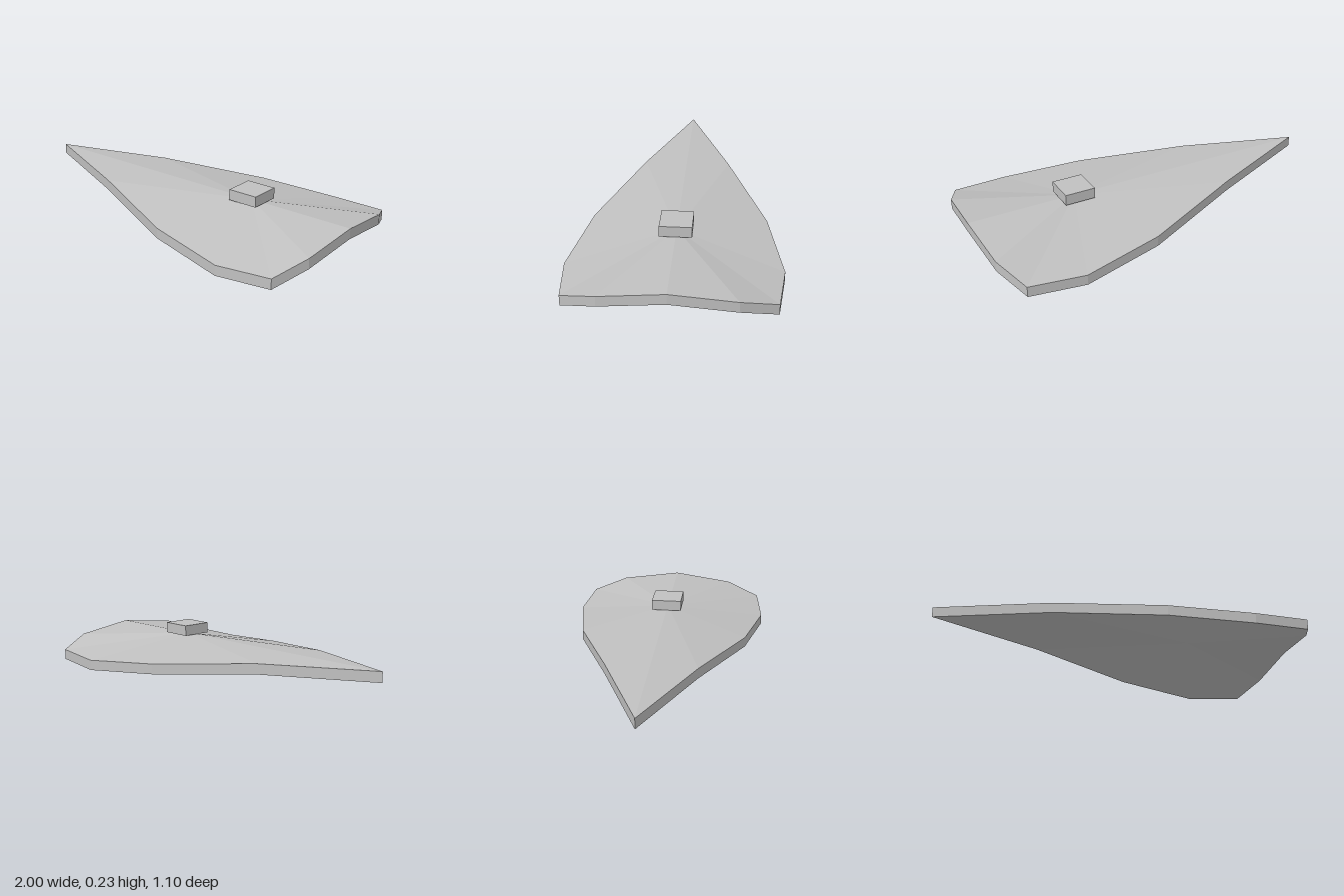
import * as THREE from 'three';

export function createModel() {
  const group = new THREE.Group();
  const grey = new THREE.MeshStandardMaterial({ color: 0xc0c0c0 });
  grey.name = 'grey';

  // Top rim of the front half, from the pointed tip to the blunt end
  const half = [
    [-1, 0.172, 0], [-0.4, 0.152, 0.242], [0.16, 0.095, 0.465], [0.6, 0.06, 0.552],
    [0.9, 0.073, 0.52], [0.98, 0.131, 0.333], [1, 0.172, 0],
  ];
  const mirrored = half.slice(1, -1).reverse().map(([x, y, z]) => [x, y, -z]);
  const rim = [...half, ...mirrored];
  const hub = [0.41, 0.172, 0];
  const thickness = 0.056;
  const lower = ([x, y, z]) => [x, y - thickness, z];

  // Drooping shell: a fan above, a fan below and a wall around the rim
  const positions = [];
  const tri = (a, b, c) => positions.push(...a, ...b, ...c);
  rim.forEach((a, i) => {
    const b = rim[(i + 1) % rim.length];
    tri(hub, a, b);
    tri(lower(hub), lower(b), lower(a));
    tri(lower(a), lower(b), b);
    tri(lower(a), b, a);
  });
  const geometry = new THREE.BufferGeometry();
  geometry.setAttribute('position', new THREE.Float32BufferAttribute(positions, 3));
  geometry.computeVertexNormals();
  const shell = new THREE.Mesh(geometry, grey);
  shell.name = 'shell';
  group.add(shell);

  // Small block sitting on the hub
  const block = new THREE.Mesh(new THREE.BoxGeometry(0.168, 0.058, 0.168), grey);
  block.name = 'topBlock';
  block.position.set(0.41, 0.203, 0);
  group.add(block);

  return group;
}
